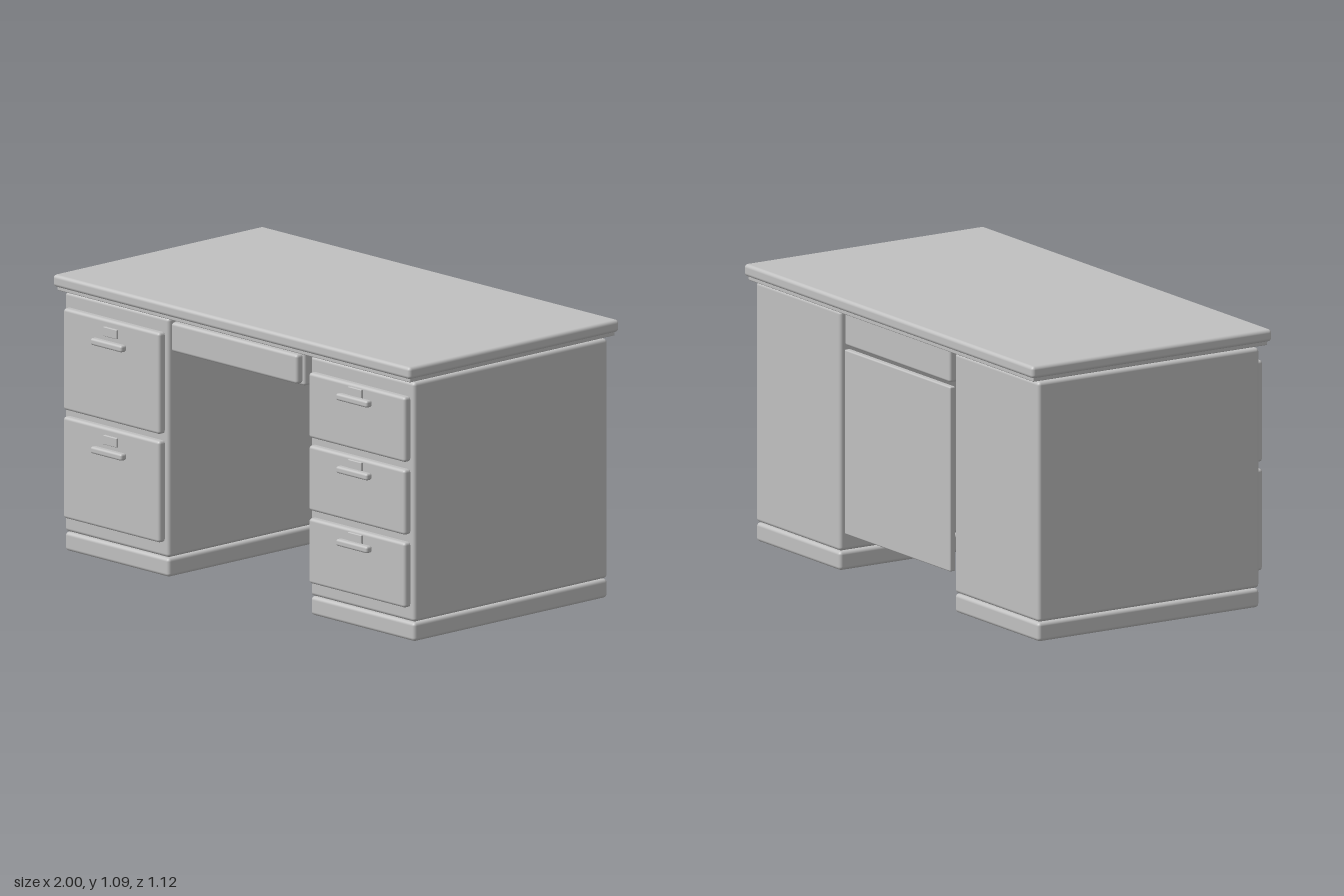
import * as THREE from 'three';
import { RoundedBoxGeometry } from 'three/addons/geometries/RoundedBoxGeometry.js';

export function createModel() {
  const desk = new THREE.Group();
  desk.name = 'desk';
  const grey = new THREE.MeshStandardMaterial({ color: 0xc0c0c0 });
  grey.name = 'grey';

  // Rounded slab given by its limits along each axis
  function slab(parent, name, [x0, x1], [y0, y1], [z0, z1], radius) {
    const geometry = new RoundedBoxGeometry(x1 - x0, y1 - y0, z1 - z0, 3, radius);
    const mesh = new THREE.Mesh(geometry, grey);
    mesh.name = name;
    mesh.position.set((x0 + x1) / 2, (y0 + y1) / 2, (z0 + z1) / 2);
    parent.add(mesh);
  }

  const depth = [-0.514, 0.502];
  const frontDepth = [0.495, 0.532];

  // Worktop with a thin lip beneath it
  slab(desk, 'worktop', [-1, 1], [1.046, 1.094], [-0.556, 0.547], 0.014);
  slab(desk, 'worktopLip', [-0.987, 0.987], [1.031, 1.05], [-0.544, 0.533], 0.004);

  // Pedestals: two tall drawers on one side, three short ones on the other
  const pedestals = [
    { name: 'twoDrawerPedestal', side: -1, drawerHeight: 0.401, pitch: 0.428, count: 2, handleDrop: 0.093, tabDrop: 0.028 },
    { name: 'threeDrawerPedestal', side: 1, drawerHeight: 0.257, pitch: 0.2875, count: 3, handleDrop: 0.057, tabDrop: 0.011 },
  ];
  for (const p of pedestals) {
    const group = new THREE.Group();
    group.name = p.name;
    desk.add(group);
    const span = (inner, outer) => (p.side > 0 ? [inner, outer] : [-outer, -inner]);

    slab(group, 'cabinet', span(0.396, 0.979), [0.077, 1.023], depth, 0.014);
    slab(group, 'plinth', span(0.396, 0.979), [0, 0.074], depth, 0.014);

    for (let i = 0; i < p.count; i++) {
      const top = 0.966 - i * p.pitch;
      const handleY = top - p.handleDrop;
      slab(group, 'drawerFront', span(0.417, 0.957), [top - p.drawerHeight, top], frontDepth, 0.012);
      slab(group, 'handle', span(0.599, 0.775), [handleY - 0.0135, handleY + 0.0135], [0.531, 0.561], 0.009);
      slab(group, 'labelTab', span(0.647, 0.722), [top - p.tabDrop - 0.037, top - p.tabDrop], [0.525, 0.541], 0.003);
    }
  }

  // Shallow centre drawer over the knee space
  slab(desk, 'centreDrawerBox', [-0.364, 0.364], [0.897, 1.033], depth, 0.01);
  slab(desk, 'centreDrawerFront', [-0.353, 0.353], [0.906, 1.022], frontDepth, 0.012);

  // Modesty panel closing the knee space at the back
  slab(desk, 'modestyPanel', [-0.366, 0.366], [0.152, 0.88], [-0.514, -0.488], 0.006);

  return desk;
}
